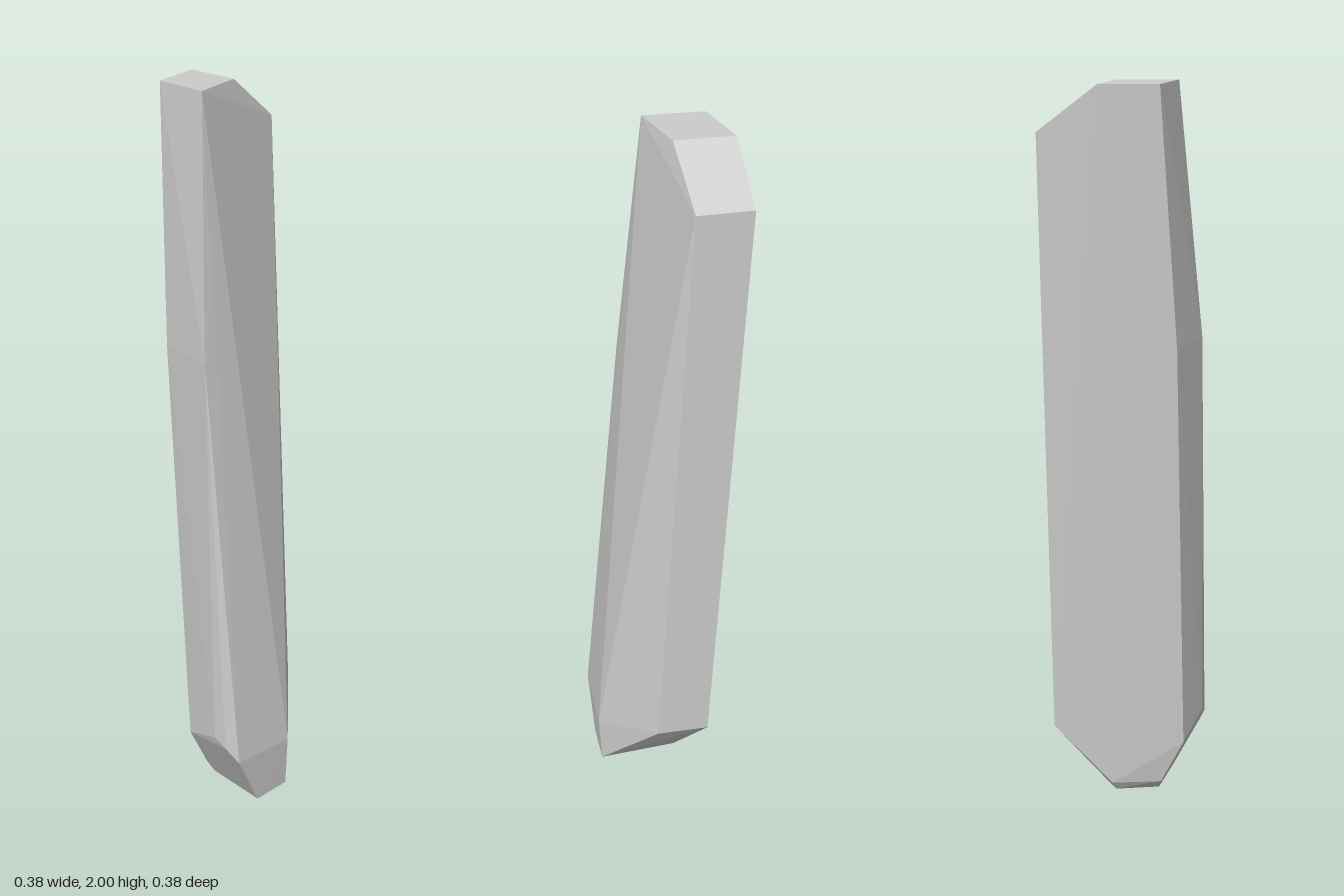
import * as THREE from 'three';
import { ConvexGeometry } from 'three/addons/geometries/ConvexGeometry.js';

export function createModel() {
  const model = new THREE.Group();
  model.name = 'leaningStone';

  // front rim, clockwise from the top left corner
  const front = [
    [-0.13, 2, 0.02], [0.025, 2, -0.025], [0.185, 1.88, -0.045],
    [0.183, 0.22, 0.045], [0.025, 0, 0.185], [-0.09, 0, 0.185],
    [-0.17, 0.16, 0.19], [-0.185, 1.32, 0.08],
  ];
  // back rim, same order
  const back = [
    [-0.12, 2, -0.14], [0.03, 2, -0.18], [0.187, 1.88, -0.19],
    [0.187, 0.22, -0.1], [0.03, 0.04, -0.055], [-0.1, 0.04, -0.01],
    [-0.165, 0.17, -0.01], [-0.157, 1.32, -0.09],
  ];
  // bevels: lower front ridge, lower left side, underside rear edge
  const bevels = [
    [0.025, 0.15, 0.192],
    [-0.188, 0.2, 0.155], [-0.19, 0.22, 0.115],
    [0.025, 0.012, -0.035], [-0.09, 0.012, 0.01],
  ];

  const points = [...front, ...back, ...bevels].map((p) => new THREE.Vector3(...p));
  const stone = new THREE.Mesh(
    new ConvexGeometry(points),
    new THREE.MeshStandardMaterial({ color: 0xcccccc, flatShading: true })
  );
  stone.name = 'stoneSlab';
  model.add(stone);
  return model;
}
